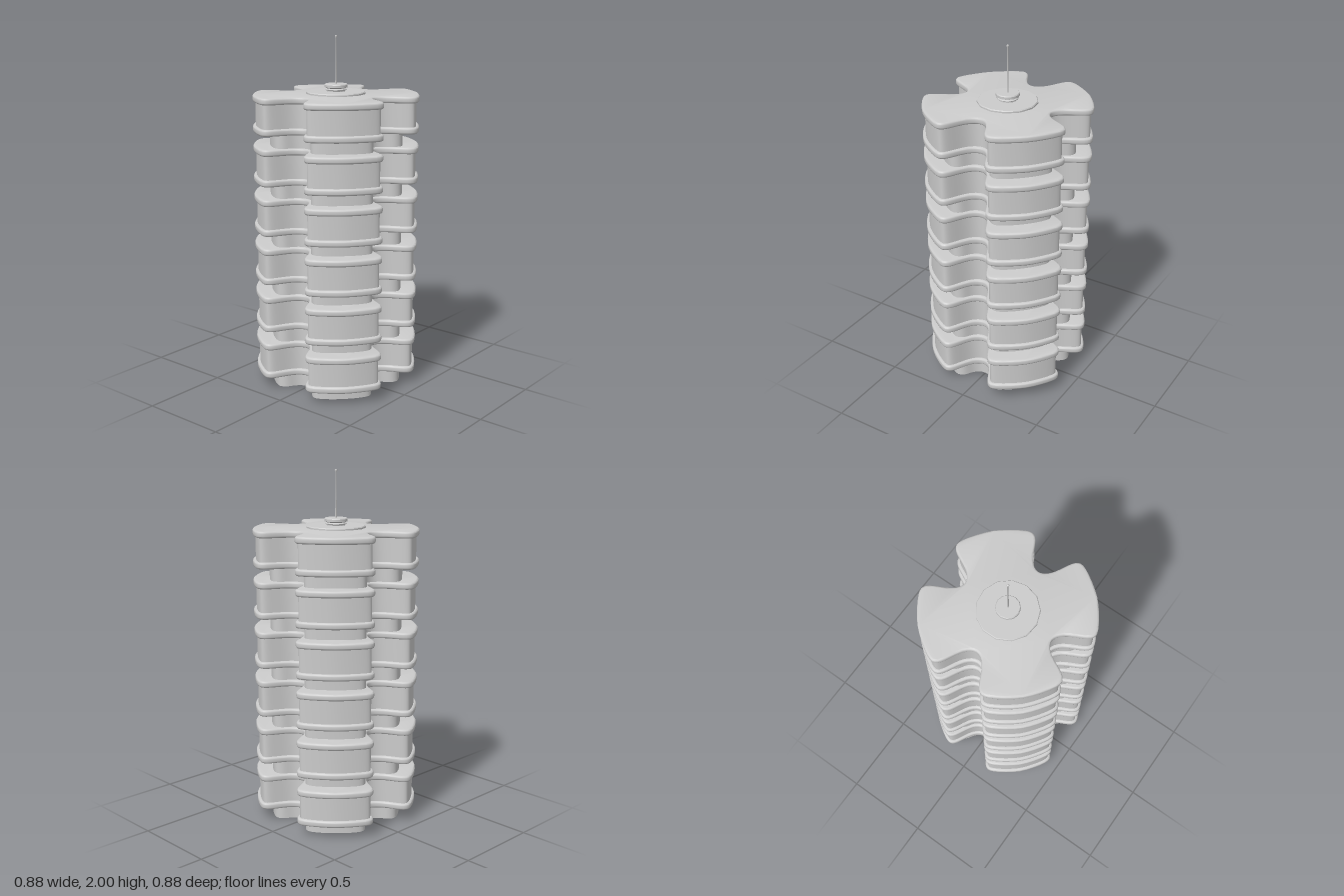
import * as THREE from 'three';
import { toCreasedNormals } from 'three/addons/utils/BufferGeometryUtils.js';

const grey = new THREE.MeshStandardMaterial({ color: 0xcccccc });

// Half of one lobe, from the notch bottom to the diagonal
const WIDE = [[0, 0.272], [0.03, 0.282], [0.058, 0.308], [0.082, 0.347], [0.106, 0.395],
  [0.128, 0.427], [0.154, 0.44], [0.19, 0.43], [0.26, 0.387], [0.33, 0.33]];
const CORE = [[0, 0.256], [0.036, 0.264], [0.066, 0.29], [0.088, 0.325],
  [0.106, 0.343], [0.132, 0.352], [0.16, 0.344], [0.21, 0.312], [0.264, 0.264]];

// Four-lobed closed outline: mirror the half lobe on the diagonal, then turn it
function outline(half) {
  const lobe = [...half, ...half.slice(1, -1).reverse().map(([a, b]) => [b, a])];
  const pts = [];
  for (let q = 0; q < 4; q++) {
    const c = Math.round(Math.cos(q * Math.PI / 2)), s = Math.round(Math.sin(q * Math.PI / 2));
    // clockwise quarter turns follow the lobe order
    lobe.forEach(([x, y]) => pts.push(new THREE.Vector3(x * c + y * s, -x * s + y * c, 0)));
  }
  const curve = new THREE.CatmullRomCurve3(pts, true, 'centripetal');
  return curve.getPoints(pts.length * 2).slice(0, -1)
    .map(p => new THREE.Vector2(p.x, p.y)).reverse();
}

// Move a counter-clockwise outline inwards by d
function inset(pts, d) {
  const n = pts.length;
  return pts.map((p, i) => {
    const t = pts[(i + 1) % n].clone().sub(pts[(i + n - 1) % n]).normalize();
    return new THREE.Vector2(p.x - t.y * d, p.y + t.x * d);
  });
}

// Upright prism between two heights, with optional rounded rim and hole
function slab(name, pts, y0, y1, { bevel = 0, hole = null } = {}) {
  const shape = new THREE.Shape(pts);
  if (hole) shape.holes.push(new THREE.Path(hole));
  const geo = new THREE.ExtrudeGeometry(shape, {
    depth: y1 - y0 - 2 * bevel, bevelEnabled: bevel > 0, bevelThickness: bevel,
    bevelSize: bevel, bevelOffset: -bevel, bevelSegments: 3, curveSegments: 1,
  });
  geo.rotateX(-Math.PI / 2).translate(0, y0 + bevel, 0);
  const mesh = new THREE.Mesh(toCreasedNormals(geo, 0.65), grey);
  mesh.name = name;
  return mesh;
}

function lathe(name, profile, sides) {
  const geo = new THREE.LatheGeometry(profile.map(p => new THREE.Vector2(...p)), sides);
  const mesh = new THREE.Mesh(toCreasedNormals(geo, 0.6), grey);
  mesh.name = name;
  return mesh;
}

export function createModel() {
  const model = new THREE.Group();
  model.name = 'lobedTower';

  const wide = outline(WIDE), core = outline(CORE);
  const body = inset(wide, 0.016);
  const STEP = 0.28, STOREYS = 6;

  for (let i = 0; i < STOREYS; i++) {
    const y = i * STEP;
    const storey = new THREE.Group();
    storey.name = `storey${i + 1}`;
    const ground = i === 0;
    // The lowest recess is an open-bottomed shell
    storey.add(
      slab('recessedCore', core, y - (ground ? 0 : 0.01), y + (ground ? 0.1 : 0.08),
        { hole: ground ? inset(core, 0.008) : null }),
      slab('lowerFlange', wide, y + 0.07, y + 0.107,
        { bevel: 0.011, hole: ground ? inset(core, 0.012) : null }),
      slab('storeyBody', body, y + 0.1, y + 0.25),
      slab('upperFlange', wide, y + 0.24, y + 0.277, { bevel: 0.011 }),
    );
    model.add(storey);
  }

  // Roof fittings
  model.add(
    lathe('roofDisc', [[0, 1.67], [0.168, 1.67], [0.168, 1.685], [0.164, 1.69], [0, 1.69]], 13),
    lathe('roofCap', [[0.052, 1.68], [0.052, 1.694], [0.06, 1.698], [0.06, 1.702], [0.052, 1.707],
      [0.066, 1.713], [0.066, 1.726], [0.062, 1.731], [0, 1.731]], 12),
    lathe('antenna', [[0.0045, 1.72], [0.0035, 1.985], [0.007, 1.99], [0.007, 1.996], [0, 2]], 8),
  );
  return model;
}
